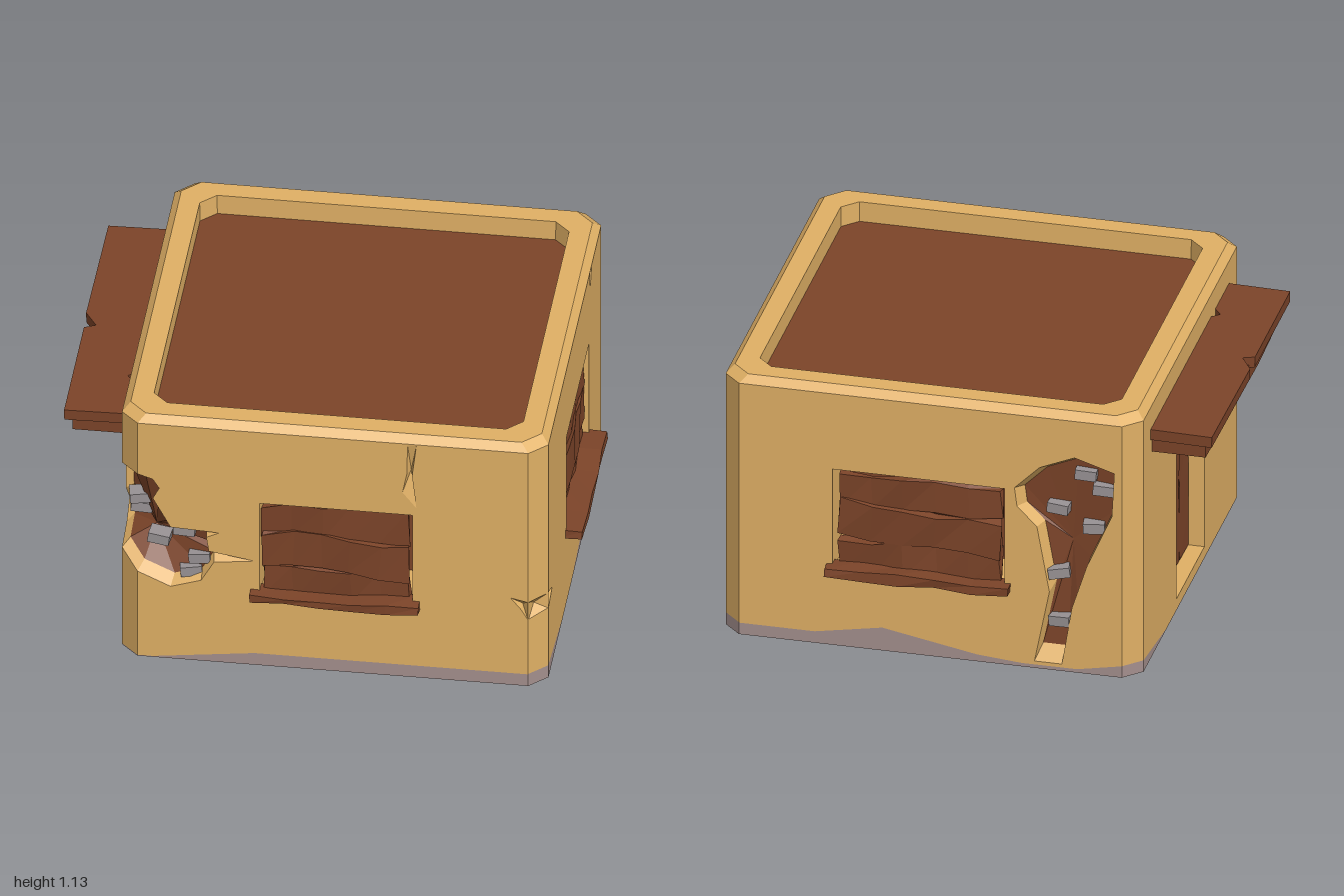
import * as THREE from 'three';

const flat = (name, color) => {
  const m = new THREE.MeshStandardMaterial({ color });
  m.name = name;
  m.side = THREE.DoubleSide;
  return m;
};
const V = (x, y, z) => new THREE.Vector3(x, y, z);
const noise = (x, y, z, s) => {
  const v = Math.sin(x * 127.1 + y * 311.7 + z * 74.7 + s * 19.19) * 43758.5453;
  return (v - Math.floor(v)) * 2 - 1;
};

export function createModel() {
  const sand = flat('sand plaster', 0xe0b065);
  const wood = flat('brown wood', 0x7c4429);
  const base = flat('grey base', 0xa48f8d);
  const stone = flat('grey brick', 0x989294);
  const root = new THREE.Group();
  root.name = 'house';

  const add = (parent, name, geo, mat) => {
    const m = new THREE.Mesh(geo, mat);
    m.name = name;
    parent.add(m);
    return m;
  };
  const fromTris = (tris) => {
    const g = new THREE.BufferGeometry().setFromPoints(tris);
    g.computeVertexNormals();
    return g;
  };
  // strip of quads between two closed rows of points
  const strip = (a, b) => {
    const t = [];
    a.forEach((p, i) => {
      const j = (i + 1) % a.length;
      t.push(p, a[j], b[j], p, b[j], b[i]);
    });
    return fromTris(t);
  };
  // broken plaster: rim sloping inwards, then a faceted hollow
  const cavity = (parent, name, pts, centre, t, apex, backMat) => {
    const inner = pts.map((p) => p.clone().lerp(centre, t));
    add(parent, name + 'Rim', strip(pts, inner), sand);
    const tris = [];
    inner.forEach((p, i) => tris.push(p, inner[(i + 1) % inner.length], apex));
    add(parent, name + 'Back', fromTris(tris), backMat);
  };
  // warped, rough-hewn board
  const plank = (parent, name, [w, h, d], [x, y, z], seed, rz = 0, rough = 0.012) => {
    const long = w >= h;
    let g = new THREE.BoxGeometry(w, h, d, long ? 5 : 1, long ? 1 : 5, 1);
    const p = g.attributes.position;
    for (let i = 0; i < p.count; i++) {
      const a = [p.getX(i), p.getY(i), p.getZ(i)].map((v) => Math.round(v * 1000) / 1000);
      p.setXYZ(i, a[0] + noise(...a, seed) * rough * (long ? 0.5 : 1),
        a[1] + noise(...a, seed + 1) * rough * (long ? 1 : 0.5), a[2] + noise(...a, seed + 2) * rough * 0.6);
    }
    g = g.toNonIndexed();
    g.computeVertexNormals();
    const m = add(parent, name, g, wood);
    m.position.set(x, y, z);
    m.rotation.z = rz;
  };
  const shapeOf = (pts) => new THREE.Shape(pts.map(([x, y]) => new THREE.Vector2(x, y)));

  // wall panel: local x along the wall, local z outwards
  const panel = (name, x, z, angle, bottom, rest, holes = []) => {
    const g = new THREE.Group();
    g.name = name;
    g.position.set(x, 0, z);
    g.rotation.y = angle;
    root.add(g);
    const s = shapeOf([...bottom, ...rest]);
    holes.forEach((h) => s.holes.push(shapeOf(h)));
    add(g, name + 'Plaster', new THREE.ShapeGeometry(s), sand);
    const l = bottom[0][0], r = bottom[bottom.length - 1][0];
    add(g, name + 'Base', new THREE.ShapeGeometry(shapeOf([[l, 0], [r, 0], ...bottom.slice().reverse()])), base);
    return g;
  };
  const rect = (a, b, c, d) => [[a, c], [b, c], [b, d], [a, d]];
  const at = (pts, z) => pts.map(([x, y]) => V(x, y, z));
  // box set into the wall behind an opening
  const niche = (g, name, hole, depth) => {
    add(g, name + 'Reveal', strip(at(hole, 0), at(hole, -depth)), sand);
    const b = add(g, name + 'Panel', new THREE.ShapeGeometry(shapeOf(hole)), wood);
    b.position.z = -depth;
  };
  // boarded-up window with a sill reaching out of the wall
  const shutter = (g, l, r, lo, hi, seed, out) => {
    const w = r - l, h = hi - lo, c = (l + r) / 2;
    [[0.15, 0.31, 0.03], [0.48, 0.34, -0.05], [0.8, 0.33, 0.005]].forEach(([f, k, a], i) =>
      plank(g, 'shutterBoard', [w - 0.02, h * k, 0.035], [c, lo + h * f, -0.04 + 0.012 * (i % 2)], seed + i * 7, a, 0.016));
    plank(g, 'windowSill', [w + 0.065, 0.034, out + 0.04], [c, lo + 0.008, out / 2 - 0.02], seed + 30, 0, 0.009);
  };
  const crack = (g, pts) => {
    const c = pts.reduce((s, p) => s.add(V(p[0], p[1], 0)), V(0, 0, 0)).divideScalar(pts.length);
    c.z = -0.03;
    cavity(g, 'crack', at(pts, 0), c, 0.4, c, sand);
  };

  const H = 1.1, P = Math.PI, L = -0.75, R = 0.924, Z = 0.826, E = Z - 0.07;
  // outlines of the broken corner on both walls
  const frontBreak = [[-0.68, 0.86], [-0.62, 0.84], [-0.595, 0.8], [-0.62, 0.75], [-0.55, 0.62], [-0.36, 0.61], [-0.41, 0.585],
    [-0.4, 0.52], [-0.22, 0.49], [-0.38, 0.47], [-0.43, 0.38], [-0.55, 0.34], [-0.68, 0.4]];
  const sideBreak = [[E, 0.46], [0.62, 0.49], [0.54, 0.55], [0.64, 0.66], [0.65, 0.79], [E, 0.86]];

  // front wall
  const fw = rect(-0.2, 0.4, 0.33, 0.765);
  const fc = [[0.38, 1.095], [0.415, 1.095], [0.398, 0.95], [0.415, 0.8], [0.36, 0.87], [0.378, 0.96]];
  const fd = [[0.785, 0.41], [0.852, 0.395], [0.852, 0.315], [0.825, 0.36]];
  const front = panel('frontWall', 0, Z, 0, [[-0.68, 0.004], [-0.62, 0.004], [-0.22, 0.055], [R - 0.07, 0.055]],
    [[R - 0.07, H], [-0.68, H], ...frontBreak], [fw, fc, fd]);
  niche(front, 'frontWindow', fw, 0.25);
  shutter(front, -0.2, 0.395, 0.33, 0.765, 1, 0.045);
  crack(front, fc);
  crack(front, fd);

  // side wall with a window (+x)
  const rw = rect(-0.24, 0.4, 0.33, 0.78);
  const rc = [[0.43, 1.095], [0.48, 1.095], [0.445, 1.02]];
  const rd = [[-0.752, 0.4], [-0.65, 0.355], [-0.752, 0.33]];
  const side = panel('windowSideWall', R, 0, P / 2,
    [[-E, 0.06], [-0.35, 0.004], [-0.1, 0.004], [0.35, 0.055], [E, 0.055]], [[E, H], [-E, H]], [rw, rc, rd]);
  niche(side, 'sideWindow', rw, 0.25);
  shutter(side, -0.235, 0.395, 0.335, 0.77, 12, 0.07);
  crack(side, rc);
  crack(side, rd);

  // back wall with a long break down to the ground
  const bw = rect(-0.48, 0.21, 0.33, 0.77);
  const bh = [[0.25, 0.78], [0.35, 0.88], [0.49, 0.94], [0.65, 0.89], [0.64, 0.7], [0.54, 0.47], [0.48, 0.28],
    [0.44, 0.03], [0.33, 0.03], [0.39, 0.34], [0.34, 0.62], [0.26, 0.7]];
  const back = panel('backWall', 0, -Z, P,
    [[0.07 - R, 0.05], [-0.55, 0.05], [-0.28, 0.1], [0.1, 0.03], [0.28, 0.015], [0.5, 0.015], [0.68, 0.05]],
    [[0.68, H], [0.07 - R, H]], [bw, bh]);
  niche(back, 'backWindow', bw, 0.25);
  shutter(back, -0.47, 0.2, 0.335, 0.765, 23, 0.055);
  cavity(back, 'backBreak', at(bh, 0), V(0.6, 0.72, -0.5), 0.09, V(0.47, 0.55, -0.07), wood);

  // door wall (-x)
  const dh = rect(-0.22, 0.23, 0.05, 0.88);
  const door = panel('doorWall', L, 0, -P / 2, [[-E, 0.05], [-0.4, 0.004], [E, 0.004]],
    [...sideBreak, [E, H], [-E, H]], [dh]);
  niche(door, 'doorway', dh, 0.26);
  for (let i = 0; i < 3; i++)
    plank(door, 'doorBoard', [0.145, 0.82, 0.035], [-0.145 + i * 0.15, 0.465, -0.08], 40 + i * 5, 0, 0.008);

  // chamfered corners
  const k = 0.0495, rx = R - 0.035, lx = L + 0.035, cz = Z - 0.035;
  const corner = (name, x, z, a, y, top = [[k, H], [-k, H]], holes = []) =>
    panel(name, x, z, a, [[-k, y], [k, y]], top, holes);
  const chip = [[-0.047, 0.395], [0.047, 0.4], [0.047, 0.33], [-0.047, 0.315]];
  crack(corner('frontRightCorner', rx, cz, P / 4, 0.057, undefined, [chip]), chip);
  corner('backRightCorner', rx, -cz, P * 0.75, 0.052);
  corner('backLeftCorner', lx, -cz, -P * 0.75, 0.05);
  const cg = corner('brokenCorner', lx, cz, -P / 4, 0.004, [[k, 0.4], [-k, 0.46]]);
  add(cg, 'brokenCornerTop', new THREE.ShapeGeometry(shapeOf(rect(-k, k, 0.86, H))), sand);
  const outline = [...frontBreak.map(([x, y]) => V(x, y, Z)), ...sideBreak.map(([z, y]) => V(L, y, z))];
  cavity(root, 'cornerBreak', outline, V(-0.42, 0.82, 0.45), 0.09, V(-0.62, 0.55, 0.7), wood);

  // bevelled parapet and sunken roof
  const mid = (L + R) / 2;
  const oct = (i, y, c = 0.07) => {
    const x = (R - L) / 2 - i, z = Z - i;
    return [[x - c, z], [x, z - c], [x, c - z], [x - c, -z], [c - x, -z], [-x, c - z], [-x, z - c], [c - x, z]]
      .map(([a, b]) => V(a + mid, y, b));
  };
  const loops = [oct(0, H), oct(0.03, 1.13), oct(0.112, 1.13, 0.06), oct(0.113, 1.045, 0.06)];
  for (let i = 0; i < 3; i++) add(root, 'parapet', strip(loops[i + 1], loops[i]), sand);
  const roof = [];
  loops[3].forEach((p, i) => roof.push(p, loops[3][(i + 1) % 8], V(mid, 1.045, 0)));
  add(root, 'roof', fromTris(roof), wood);

  // awning over the door, with worn notches
  const awning = (name, pts, y, h, tilt) => {
    const g = new THREE.ExtrudeGeometry(shapeOf(pts), { depth: h, bevelEnabled: false });
    g.rotateX(P / 2);
    const m = add(root, name, g, wood);
    m.position.set(L, y, 0);
    m.rotation.z = tilt;
  };
  awning('awningBoard', [[0.01, -0.64], [-0.245, -0.64], [-0.25, -0.04], [-0.2, 0.04], [-0.245, 0.06], [-0.245, 0.63],
    [0.01, 0.63], [0.01, 0.42], [-0.03, 0.37], [0.01, 0.33]], 1.003, 0.045, 0.02);
  awning('awningUnderside', [[0.01, -0.62], [-0.215, -0.62], [-0.225, 0.2], [-0.215, 0.61], [0.01, 0.61]], 0.965, 0.068, 0);

  // exposed bricks
  [[-0.6, 0.535, 0.76], [-0.5, 0.59, 0.77], [-0.44, 0.465, 0.77], [-0.475, 0.405, 0.775], [-0.685, 0.68, 0.7],
    [-0.685, 0.61, 0.66], [-0.53, 0.86, -0.78], [-0.6, 0.8, -0.78], [-0.42, 0.7, -0.78], [-0.56, 0.63, -0.78],
    [-0.42, 0.42, -0.785], [-0.43, 0.21, -0.785]].forEach(([x, y, z], i) => {
    const b = add(root, 'brick', new THREE.BoxGeometry(0.085, 0.042, 0.07), stone);
    b.position.set(x, y, z);
    b.rotation.set(0, noise(i, 1, 2, 3) * 0.2, noise(i, 4, 5, 6) * 0.15);
  });
  return root;
}
